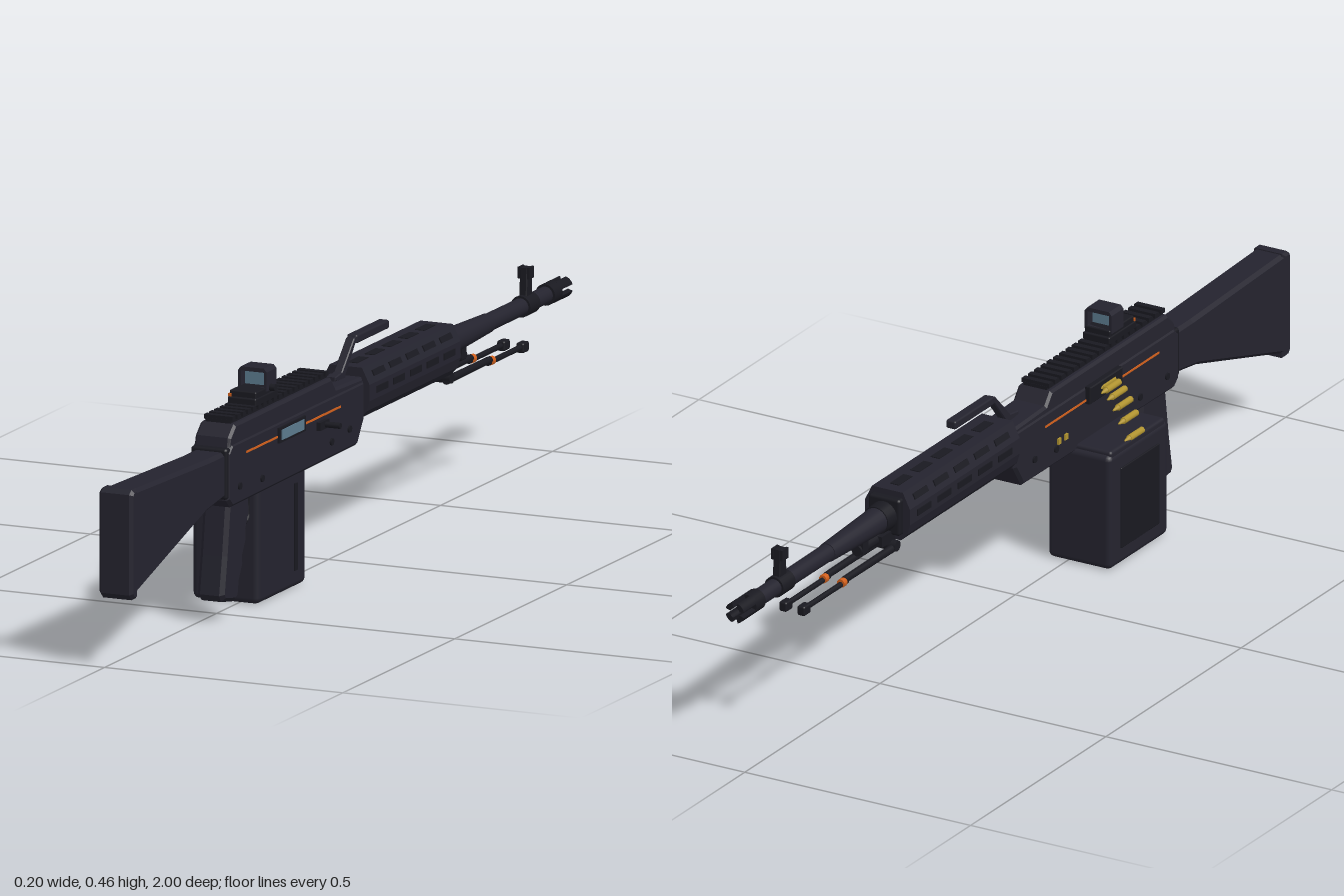
import * as THREE from 'three';
import { RoundedBoxGeometry } from 'three/addons/geometries/RoundedBoxGeometry.js';

const mat = (name, color) => {
  const m = new THREE.MeshStandardMaterial({ color });
  m.name = name;
  return m;
};

export function createModel() {
  const body = mat('charcoal', 0x24232e);
  const dark = mat('black', 0x191920);
  const brass = mat('brass', 0xb0932f);
  const orange = mat('orange', 0xd2601c);
  const glass = mat('blue grey', 0x5b7a8d);

  const root = new THREE.Group();
  root.name = 'machineGun';
  const gun = new THREE.Group();
  gun.name = 'gunBody';
  gun.position.x = 0.022; // the bore line sits beside the centre because of the ammo box
  root.add(gun);

  const add = (name, geo, m, x = 0, y = 0, z = 0) => {
    const mesh = new THREE.Mesh(geo, m);
    mesh.name = name;
    mesh.position.set(x, y, z);
    gun.add(mesh);
    return mesh;
  };
  const box = (name, m, w, h, d, x, y, z) => add(name, new THREE.BoxGeometry(w, h, d), m, x, y, z);
  const rbox = (name, m, w, h, d, x, y, z, r) => add(name, new RoundedBoxGeometry(w, h, d, 2, r), m, x, y, z);
  // round bar along z, from z0 (radius r0) to z1 (radius r1)
  const bar = (name, m, r0, r1, z0, z1, x, y, n = 20) => {
    const g = new THREE.CylinderGeometry(r0, r1, z0 - z1, n).rotateX(Math.PI / 2);
    return add(name, g, m, x, y, (z0 + z1) / 2);
  };
  // side outline of [z, y] points, extruded to a bevelled slab of width w
  const slab = (name, m, pts, w, bevel = 0.004, x = 0) => {
    const shape = new THREE.Shape(pts.map(p => new THREE.Vector2(...p)));
    const g = new THREE.ExtrudeGeometry(shape, {
      depth: w - 2 * bevel, bevelEnabled: bevel > 0, bevelSize: bevel,
      bevelThickness: bevel, bevelOffset: -bevel, bevelSegments: 1,
    });
    g.translate(0, 0, -(w - 2 * bevel) / 2).rotateY(-Math.PI / 2);
    return add(name, g, m, x);
  };
  // cross-section of [x, y] points, extruded along z
  const section = (name, m, shape, z0, z1) => {
    const g = new THREE.ExtrudeGeometry(shape, { depth: z0 - z1, bevelEnabled: false, curveSegments: 8 });
    return add(name, g, m, 0, 0, z1);
  };

  // Stock and butt pad
  slab('stock', body, [[0.56, 0.25], [0.56, 0.337], [0.64, 0.337], [0.98, 0.348], [0.98, 0.142], [0.66, 0.236]], 0.066, 0.007);
  slab('buttPad', body, [[0.972, 0.135], [0.972, 0.35], [0.99, 0.35], [1, 0.342], [1, 0.146], [0.99, 0.135]], 0.071, 0.006);
  rbox('stockCollar', dark, 0.076, 0.1, 0.025, 0, 0.294, 0.57, 0.006);

  // Receiver with feed cover
  slab('receiver', body, [[0.578, 0.242], [0.578, 0.335], [0.56, 0.35], [-0.03, 0.35], [-0.03, 0.275], [0, 0.23], [0.56, 0.226]], 0.08, 0.006);
  slab('feedCover', body, [[0.57, 0.34], [0.565, 0.362], [0.54, 0.384], [0.11, 0.384], [0.09, 0.36], [-0.03, 0.356], [-0.03, 0.34]], 0.074, 0.005);

  // Top rail
  box('railBase', dark, 0.052, 0.01, 0.43, 0, 0.386, 0.325);
  for (let i = 0; i < 19; i++) box('railTooth', dark, 0.06, 0.009, 0.013, 0, 0.393, 0.533 - i * 0.0231);

  // Side trim, ejection port and pins
  for (const s of [-1, 1]) {
    box('sideTrim', orange, 0.002, 0.004, 0.42, s * 0.0405, 0.322, 0.29);
    for (const [y, z] of [[0.262, 0.53], [0.256, 0.43], [0.262, 0.12], [0.27, 0.04]]) {
      add('receiverPin', new THREE.CylinderGeometry(0.007, 0.007, 0.005, 12).rotateZ(Math.PI / 2), dark, s * 0.041, y, z);
    }
  }
  box('ejectionPortFrame', dark, 0.006, 0.03, 0.12, 0.041, 0.324, 0.3);
  box('ejectionPort', glass, 0.004, 0.02, 0.1, 0.0435, 0.324, 0.3);
  const handle = new THREE.CylinderGeometry(0.006, 0.006, 0.045, 12).rotateZ(Math.PI / 2);
  add('chargingHandle', handle, dark, 0.056, 0.305, 0.16);
  box('chargingSlide', dark, 0.012, 0.016, 0.04, 0.042, 0.305, 0.165);

  // Optic
  rbox('sightBase', dark, 0.06, 0.016, 0.1, 0, 0.402, 0.385, 0.003);
  rbox('sightBody', dark, 0.056, 0.02, 0.09, 0, 0.412, 0.385, 0.003);
  const hood = new THREE.Shape([[-0.03, 0.415], [0.03, 0.415], [0.03, 0.452], [0.024, 0.459], [-0.024, 0.459], [-0.03, 0.452]].map(p => new THREE.Vector2(...p)));
  hood.holes.push(new THREE.Path([[-0.024, 0.422], [-0.024, 0.451], [0.024, 0.451], [0.024, 0.422]].map(p => new THREE.Vector2(...p))));
  section('sightHood', body, hood, 0.387, 0.343);
  box('lens', glass, 0.048, 0.03, 0.006, 0, 0.4365, 0.365);
  add('sightKnob', new THREE.CylinderGeometry(0.007, 0.007, 0.012, 12).rotateZ(Math.PI / 2), dark, 0.035, 0.42, 0.37);
  box('sightLamp', orange, 0.006, 0.006, 0.004, -0.026, 0.413, 0.431);

  // Grip, trigger and guard
  slab('grip', body, [[0.55, 0.235], [0.46, 0.235], [0.455, 0.195], [0.47, 0.165], [0.468, 0.145], [0.485, 0.115], [0.483, 0.1], [0.5, 0.07], [0.505, 0.04], [0.52, 0.033], [0.57, 0.042], [0.578, 0.055], [0.565, 0.13]], 0.056, 0.008);
  const guard = new THREE.CatmullRomCurve3([[0.455, 0.165], [0.43, 0.163], [0.41, 0.168], [0.405, 0.19], [0.405, 0.235]].map(([z, y]) => new THREE.Vector3(0, y, z)));
  add('triggerGuard', new THREE.TubeGeometry(guard, 16, 0.004, 6), dark);
  slab('trigger', dark, [[0.458, 0.23], [0.444, 0.23], [0.45, 0.205], [0.439, 0.182], [0.445, 0.18], [0.459, 0.203]], 0.01, 0);

  // Ammunition box hung off the right side
  rbox('ammoBox', body, 0.14, 0.235, 0.216, -0.049, 0.1185, 0.297, 0.012);
  rbox('ammoBoxLid', body, 0.125, 0.02, 0.2, -0.054, 0.233, 0.297, 0.006);
  rbox('ammoBoxPanel', dark, 0.008, 0.166, 0.14, -0.118, 0.118, 0.297, 0.002);
  box('ammoBoxRib', dark, 0.004, 0.17, 0.012, 0.0215, 0.12, 0.24);

  // Cartridge belt curving into the feed tray
  const belt = [[-0.088, 0.243], [-0.075, 0.276], [-0.063, 0.301], [-0.05, 0.32], [-0.037, 0.331], [-0.025, 0.335]];
  for (const [x, y] of belt) {
    bar('cartridgeCase', brass, 0.0065, 0.0065, 0.322, 0.274, x - 0.022, y, 12);
    bar('cartridgeTip', brass, 0.0055, 0.0015, 0.274, 0.257, x - 0.022, y, 12);
  }
  slab('feedTray', dark, [[0.35, 0.315], [0.35, 0.35], [0.23, 0.35], [0.23, 0.315]], 0.014, 0.002, -0.044);
  for (const z of [0.13, 0.155]) box('brassCatch', brass, 0.004, 0.012, 0.01, -0.0415, 0.275, z);

  // Handguard: eight-sided section with side slots and top slots
  const half = [[0.03, 0.275], [0.044, 0.29], [0.05, 0.31], [0.05, 0.342], [0.034, 0.374]];
  const hg = [...half, ...half.map(([x, y]) => [-x, y]).reverse()];
  section('handguard', body, new THREE.Shape(hg.map(p => new THREE.Vector2(...p))), -0.03, -0.436);
  for (let i = 0; i < 5; i++) {
    const z = -0.085 - i * 0.075;
    for (const s of [-1, 1]) {
      box('sideSlot', dark, 0.004, 0.013, 0.05, s * 0.05, 0.327, z);
      const vent = box('upperVent', dark, 0.004, 0.012, 0.05, s * 0.0425, 0.358, z);
      vent.rotation.z = s * 0.463;
    }
    box('topSlot', dark, 0.02, 0.004, 0.05, 0, 0.3735, z);
  }
  rbox('handguardCap', dark, 0.07, 0.075, 0.02, 0, 0.325, -0.44, 0.006);

  // Carrying handle
  slab('carryHandleArm', body, [[0.035, 0.358], [0.035, 0.366], [0.005, 0.37], [-0.05, 0.425], [-0.07, 0.428], [-0.07, 0.415], [-0.055, 0.413], [-0.012, 0.362], [-0.01, 0.352]], 0.018, 0.002);
  rbox('carryHandleGrip', body, 0.022, 0.017, 0.145, 0, 0.421, -0.13, 0.004);

  // Barrel, gas tube and flash hider
  bar('barrelCollar', dark, 0.03, 0.028, -0.445, -0.48, 0, 0.325);
  bar('barrelSleeve', body, 0.026, 0.019, -0.48, -0.66, 0, 0.325);
  bar('barrel', body, 0.0175, 0.0165, -0.65, -0.93, 0, 0.325);
  bar('gasTube', dark, 0.011, 0.011, -0.43, -0.55, 0, 0.288);
  box('gasBlock', dark, 0.022, 0.035, 0.02, 0, 0.3, -0.535);
  bar('flashHiderBase', dark, 0.021, 0.021, -0.92, -0.955, 0, 0.325);
  for (let i = 0; i < 4; i++) {
    const a = i * Math.PI / 2 + 0.3, b = (i + 1) * Math.PI / 2 - 0.3;
    const prong = new THREE.Shape().absarc(0, 0, 0.021, a, b, false).absarc(0, 0, 0.011, b, a, true);
    section('flashHiderProng', dark, prong, -0.95, -1).position.y = 0.325;
  }

  // Front sight
  bar('frontSightBand', dark, 0.021, 0.021, -0.81, -0.855, 0, 0.325);
  slab('frontSightPost', dark, [[-0.82, 0.34], [-0.824, 0.398], [-0.844, 0.398], [-0.848, 0.34]], 0.016, 0.002);
  for (const s of [-1, 1]) box('frontSightEar', dark, 0.005, 0.022, 0.022, s * 0.01, 0.388, -0.834);

  // Folded bipod
  box('bipodMount', dark, 0.034, 0.022, 0.06, 0, 0.285, -0.455);
  add('bipodPivot', new THREE.CylinderGeometry(0.011, 0.011, 0.056, 12).rotateZ(Math.PI / 2), dark, 0, 0.266, -0.445);
  for (const s of [-1, 1]) {
    const x = s * 0.02;
    bar('bipodUpperLeg', dark, 0.008, 0.007, -0.435, -0.63, x, 0.262, 10);
    bar('bipodBand', orange, 0.0085, 0.0085, -0.63, -0.642, x, 0.259, 10);
    bar('bipodLowerLeg', dark, 0.0055, 0.0055, -0.62, -0.78, x, 0.257, 10);
    rbox('bipodFoot', dark, 0.017, 0.02, 0.026, x, 0.256, -0.777, 0.004);
  }
  return root;
}
